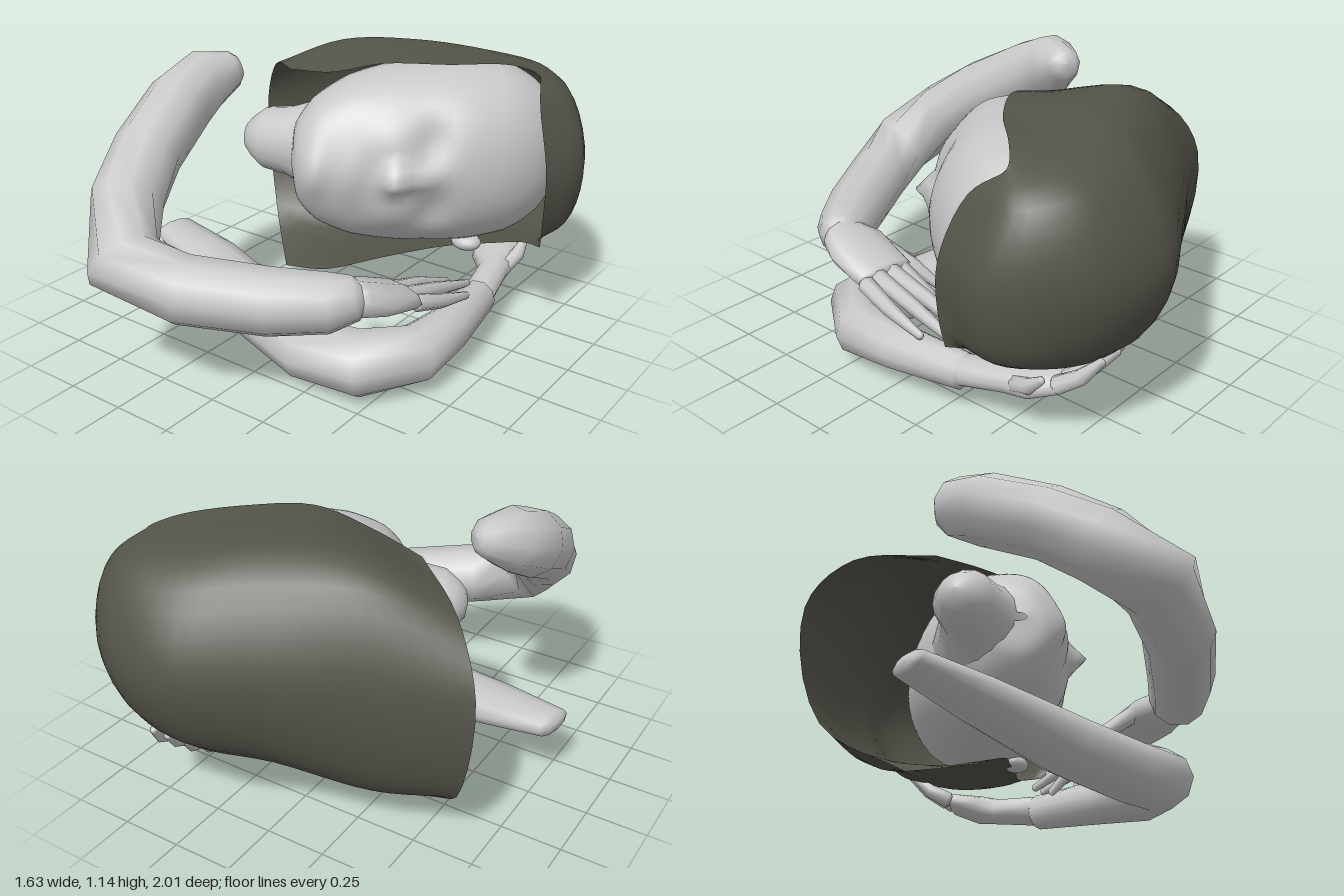
import * as THREE from 'three';

const skin = new THREE.MeshStandardMaterial({ color: 0xc8c8c8 });
skin.name = 'pale skin';
const hairMat = new THREE.MeshStandardMaterial({ color: 0x55544a, side: THREE.DoubleSide });
hairMat.name = 'dark hair';

// Joins a grid of points (rows of equal length) into one smooth surface
function gridGeometry(rows, closed) {
  const n = rows[0].length, index = [];
  const cols = closed ? n : n - 1;
  for (let i = 0; i < rows.length - 1; i++) {
    for (let j = 0; j < cols; j++) {
      const a = i * n + j, b = i * n + (j + 1) % n;
      index.push(a, b, a + n, b, b + n, a + n);
    }
  }
  const g = new THREE.BufferGeometry();
  g.setAttribute('position', new THREE.Float32BufferAttribute(rows.flat().flatMap(p => p.toArray()), 3));
  g.setIndex(index);
  g.computeVertexNormals();
  return g;
}

function part(name, geometry, material = skin) {
  const m = new THREE.Mesh(geometry, material);
  m.name = name;
  return m;
}

// Closed limb through stations [x, y, z, radius, flatness]
function limb(name, stations, sides = 10) {
  const pts = stations.map(s => new THREE.Vector3(s[0], s[1], s[2]));
  const up = new THREE.Vector3(0, 1, 0), rows = [];
  const last = pts.length - 1;
  pts.forEach((p, i) => {
    const dir = pts[Math.min(i + 1, last)].clone().sub(pts[Math.max(i - 1, 0)]).normalize();
    const n = up.clone().addScaledVector(dir, -up.dot(dir)).normalize();
    const b = n.clone().cross(dir);
    const [, , , r, flat = 1] = stations[i];
    const ring = (k, push) => Array.from({ length: sides }, (_, j) => {
      const a = j / sides * Math.PI * 2;
      return p.clone().addScaledVector(b, Math.cos(a) * r * k)
        .addScaledVector(n, Math.sin(a) * r * flat * k).addScaledVector(dir, push * r * flat);
    });
    if (i === 0) rows.push(ring(0.001, -0.45), ring(0.6, -0.35));
    rows.push(ring(1, 0));
    if (i === last) rows.push(ring(0.6, 0.35), ring(0.001, 0.45));
  });
  return part(name, gridGeometry(rows, true));
}

// Palm plus fingers, each finger given as [base, knuckle, tip]
function hand(name, palm, fingers) {
  const g = new THREE.Group();
  g.name = name;
  g.add(limb('palm', palm));
  fingers.forEach(([a, b, c]) => g.add(limb('finger', [[...a, 0.036], [...b, 0.031], [...c, 0.016]], 7)));
  return g;
}

// Head: rings along its own long axis, with facial features raised by a rule
function head() {
  const stations = [ // height, front, back, half width
    [-0.675, 0.12, 0, 0.02], [-0.655, 0.205, -0.05, 0.15], [-0.58, 0.26, -0.14, 0.25],
    [-0.43, 0.29, -0.25, 0.33], [-0.25, 0.31, -0.34, 0.365], [0, 0.32, -0.4, 0.375],
    [0.2, 0.27, -0.4, 0.355], [0.34, 0.18, -0.33, 0.28], [0.42, 0.06, -0.24, 0.17], [0.445, -0.08, -0.1, 0.01]];
  const axis = new THREE.CatmullRomCurve3(stations.map(s => new THREE.Vector3(s[0], s[1], s[2])));
  const width = new THREE.CatmullRomCurve3(stations.map(s => new THREE.Vector3(s[3], 0, 0)));
  const bump = (x, u, cx, cu, sx, su) => Math.exp(-(((x - cx) / sx) ** 2) - (((u - cu) / su) ** 2));
  const rows = [];
  for (let i = 0; i <= 54; i++) {
    const p = axis.getPoint(i / 54), w = Math.max(width.getPoint(i / 54).x, 0.004);
    const mid = (p.y + p.z) / 2, half = (p.y - p.z) / 2;
    rows.push(Array.from({ length: 56 }, (_, j) => {
      const a = j / 56 * Math.PI * 2, c = Math.cos(a);
      const x = w * Math.sin(a), u = p.x;
      let f = mid + half * Math.sign(c) * Math.abs(c) ** 0.85;
      if (c > 0) {
        f += 0.075 * bump(x, u, 0, -0.28, 0.055, 0.05) + 0.04 * bump(x, u, 0, -0.19, 0.04, 0.09);
        f += 0.022 * bump(x, u, 0, -0.45, 0.11, 0.06) + 0.035 * bump(x, u, 0, -0.6, 0.1, 0.06);
        for (const s of [-1, 1]) {
          f -= 0.035 * bump(x, u, s * 0.14, -0.12, 0.08, 0.06);
          f += 0.02 * bump(x, u, s * 0.15, -0.28, 0.09, 0.09);
        }
      }
      return new THREE.Vector3(x, u, f);
    }));
  }
  const mesh = part('head', gridGeometry(rows, true));
  const up = new THREE.Vector3(0.78, 0, -0.62).normalize();
  const face = new THREE.Vector3(0.62, 0, 0.78).normalize();
  mesh.applyMatrix4(new THREE.Matrix4().makeBasis(up.clone().cross(face), up, face).setPosition(0.35, 0.745, -0.4));
  return mesh;
}

// Hair: open shell lofted from the loose ends, round the back, to the forehead
function hair() {
  const sections = [
    [[-0.33, 1.03, -0.18], [-0.59, 0.96, -0.39], [-0.73, 0.72, -0.5], [-0.65, 0.24, -0.45], [-0.41, 0.065, -0.22]],
    [[-0.08, 1.07, -0.14], [-0.28, 1.1, -0.5], [-0.4, 0.72, -0.66], [-0.35, 0.21, -0.55], [-0.12, 0.16, -0.15]],
    [[0.13, 1.13, -0.19], [0.03, 1.11, -0.64], [-0.05, 0.72, -0.85], [0, 0.3, -0.7], [0.15, 0.28, -0.19]],
    [[0.35, 1.13, -0.33], [0.29, 1.07, -0.79], [0.27, 0.72, -1], [0.27, 0.35, -0.83], [0.36, 0.34, -0.32]],
    [[0.52, 1.12, -0.5], [0.54, 1.03, -0.83], [0.59, 0.72, -0.93], [0.54, 0.38, -0.8], [0.53, 0.365, -0.42]],
    [[0.6, 1.09, -0.57], [0.71, 0.99, -0.69], [0.82, 0.72, -0.65], [0.76, 0.44, -0.65], [0.65, 0.38, -0.48]],
    [[0.63, 1.07, -0.58], [0.69, 0.98, -0.47], [0.77, 0.74, -0.4], [0.77, 0.52, -0.4], [0.76, 0.41, -0.42]]];
  const across = sections.map(s => new THREE.CatmullRomCurve3(s.map(p => new THREE.Vector3(...p))).getPoints(20));
  const columns = across[0].map((_, j) => new THREE.CatmullRomCurve3(across.map(r => r[j])).getPoints(30));
  return part('hair', gridGeometry(columns, false), hairMat);
}

export function createModel() {
  const model = new THREE.Group();
  model.name = 'resting figure';
  model.add(head(), hair());
  model.add(limb('neck', [[-0.39, 0.77, 0, 0.09], [-0.34, 0.77, -0.02, 0.13], [-0.24, 0.77, -0.05, 0.145],
    [-0.14, 0.765, -0.09, 0.19], [-0.04, 0.755, -0.13, 0.25], [0.15, 0.75, -0.2, 0.28]], 16));

  // Ear pressed against the underside of the hair
  const ear = part('ear', new THREE.SphereGeometry(0.06, 14, 10));
  ear.scale.set(1.1, 0.6, 0.9);
  ear.position.set(0.45, 0.375, -0.36);
  model.add(ear);

  // Raised arm, bent at the front
  model.add(limb('rightArm', [[-0.47, 1.06, 0.03, 0.075], [-0.53, 1.03, 0.13, 0.125], [-0.55, 0.96, 0.27, 0.14],
    [-0.5, 0.83, 0.52, 0.14], [-0.44, 0.7, 0.7, 0.145], [-0.31, 0.54, 0.86, 0.15],
    [-0.08, 0.465, 0.79, 0.135], [0.2, 0.44, 0.64, 0.13], [0.38, 0.44, 0.52, 0.115], [0.46, 0.46, 0.46, 0.085]]));
  model.add(hand('rightHand',
    [[0.45, 0.46, 0.47, 0.09, 0.8], [0.44, 0.42, 0.37, 0.14, 0.5], [0.46, 0.37, 0.2, 0.135, 0.35]],
    [
      [[0.34, 0.41, 0.34], [0.28, 0.33, 0.22], [0.21, 0.22, 0.1]],
      [[0.37, 0.36, 0.2], [0.35, 0.27, 0.06], [0.33, 0.15, -0.08]],
      [[0.43, 0.37, 0.19], [0.43, 0.31, -0.02], [0.43, 0.23, -0.24]],
      [[0.5, 0.37, 0.19], [0.51, 0.31, -0.02], [0.52, 0.24, -0.26]],
      [[0.56, 0.36, 0.2], [0.58, 0.31, 0.05], [0.59, 0.26, -0.13]]]));

  // Lower arm, folded under the head
  model.add(limb('leftArm', [[-0.78, 0.28, 0.12, 0.095, 0.45], [-0.5, 0.235, 0.18, 0.13, 0.55],
    [-0.1, 0.145, 0.3, 0.15, 0.75], [0.2, 0.115, 0.375, 0.15, 0.8], [0.43, 0.14, 0.385, 0.14, 0.93],
    [0.57, 0.15, 0.22, 0.115], [0.58, 0.16, 0, 0.095], [0.55, 0.165, -0.31, 0.075]]));
  model.add(hand('leftHand',
    [[0.55, 0.17, -0.3, 0.065], [0.51, 0.195, -0.5, 0.065, 0.85], [0.48, 0.21, -0.58, 0.1, 0.6], [0.43, 0.245, -0.69, 0.105, 0.4]],
    [
      [[0.54, 0.21, -0.56], [0.56, 0.24, -0.63], [0.56, 0.29, -0.69]],
      [[0.5, 0.25, -0.71], [0.47, 0.3, -0.79], [0.44, 0.38, -0.86]],
      [[0.44, 0.25, -0.71], [0.39, 0.31, -0.79], [0.36, 0.39, -0.87]],
      [[0.38, 0.25, -0.7], [0.33, 0.3, -0.77], [0.29, 0.37, -0.84]],
      [[0.34, 0.24, -0.66], [0.29, 0.28, -0.72], [0.25, 0.34, -0.78]]]));
  return model;
}
